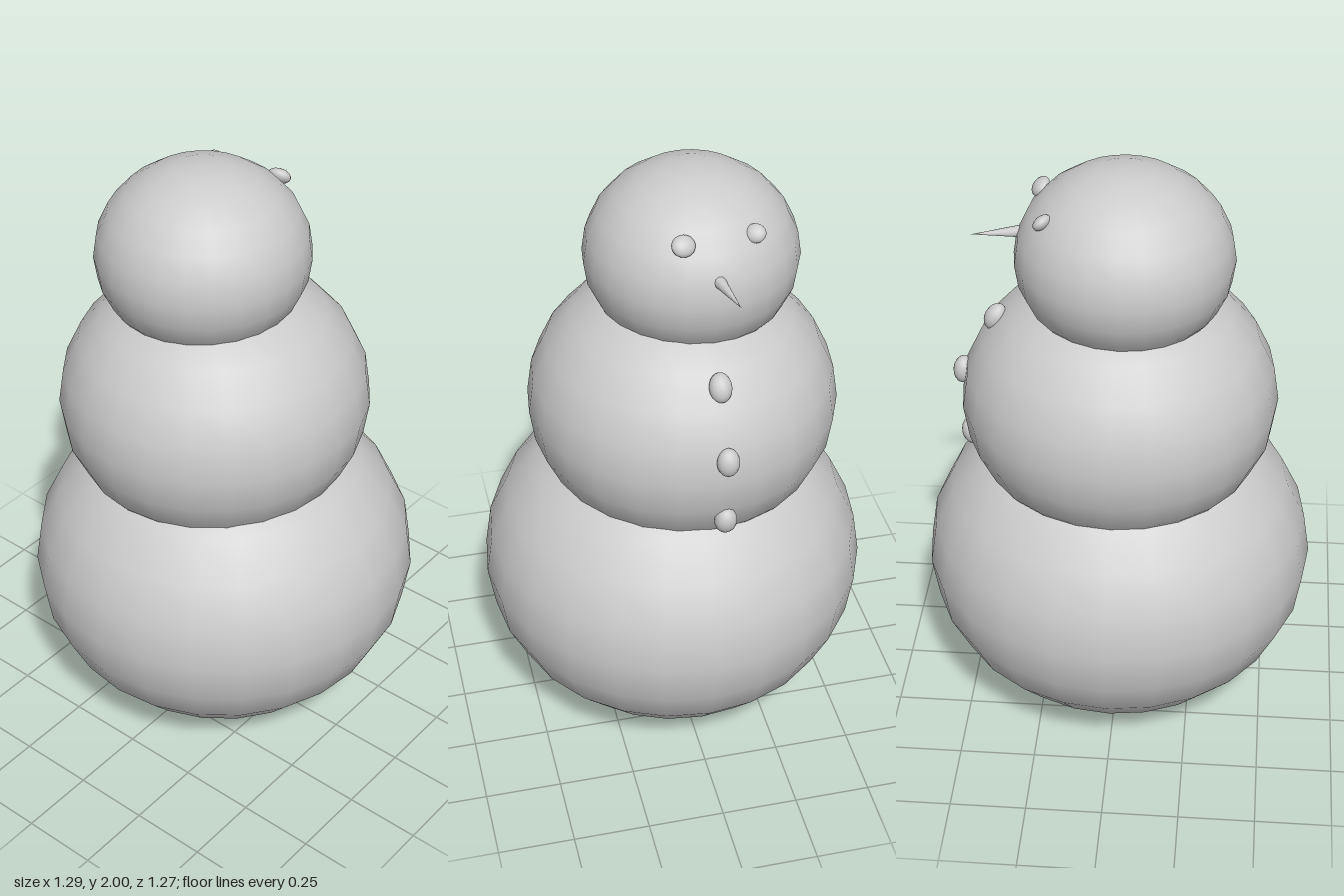
import * as THREE from 'three';

const material = new THREE.MeshStandardMaterial({ color: 0xcccccc });

// Stretched ball: centre, radii, optional tilt and segment counts
function ball(name, center, radii, tilt = [0, 0, 0], segments = 24, rings = 12) {
  const mesh = new THREE.Mesh(new THREE.SphereGeometry(1, segments, rings), material);
  mesh.name = name;
  mesh.position.set(...center);
  mesh.scale.set(...radii);
  mesh.rotation.set(...tilt);
  return mesh;
}

export function createModel() {
  const snowman = new THREE.Group();
  snowman.name = 'snowman';

  // Three stacked snowballs, each a little off the one below
  snowman.add(
    ball('bottomSnowball', [0, 0.55, 0], [0.645, 0.55, 0.637]),
    ball('middleSnowball', [-0.005, 1.18, -0.035], [0.51, 0.445, 0.502]),
    ball('head', [-0.022, 1.7, -0.067], [0.343, 0.3, 0.34])
  );

  // Pebble eyes, lying against the head
  snowman.add(
    ball('leftEye', [0.243, 1.883, 0.021], [0.022, 0.034, 0.038], [0, 0.2, 0.75], 16, 10),
    ball('rightEye', [0.215, 1.88, -0.205], [0.02, 0.03, 0.033], [0, -0.5, 0.75], 16, 10)
  );

  // Buttons down the chest, following its curve
  const buttons = [[0.388, 1.462, 0.5], [0.497, 1.26, 0.1], [0.479, 1.022, -0.2]];
  for (const [x, y, lean] of buttons) {
    snowman.add(ball('button', [x, y, -0.061], [0.033, 0.047, 0.036], [0, 0, lean], 16, 10));
  }

  // Carrot nose, pointing out of the face
  const base = new THREE.Vector3(0.28, 1.779, -0.073);
  const tip = new THREE.Vector3(0.445, 1.776, -0.104);
  const axis = tip.clone().sub(base);
  const nose = new THREE.Mesh(new THREE.ConeGeometry(0.022, axis.length(), 10), material);
  nose.name = 'nose';
  nose.position.copy(base).add(tip).multiplyScalar(0.5);
  nose.quaternion.setFromUnitVectors(new THREE.Vector3(0, 1, 0), axis.normalize());
  snowman.add(nose);

  return snowman;
}
